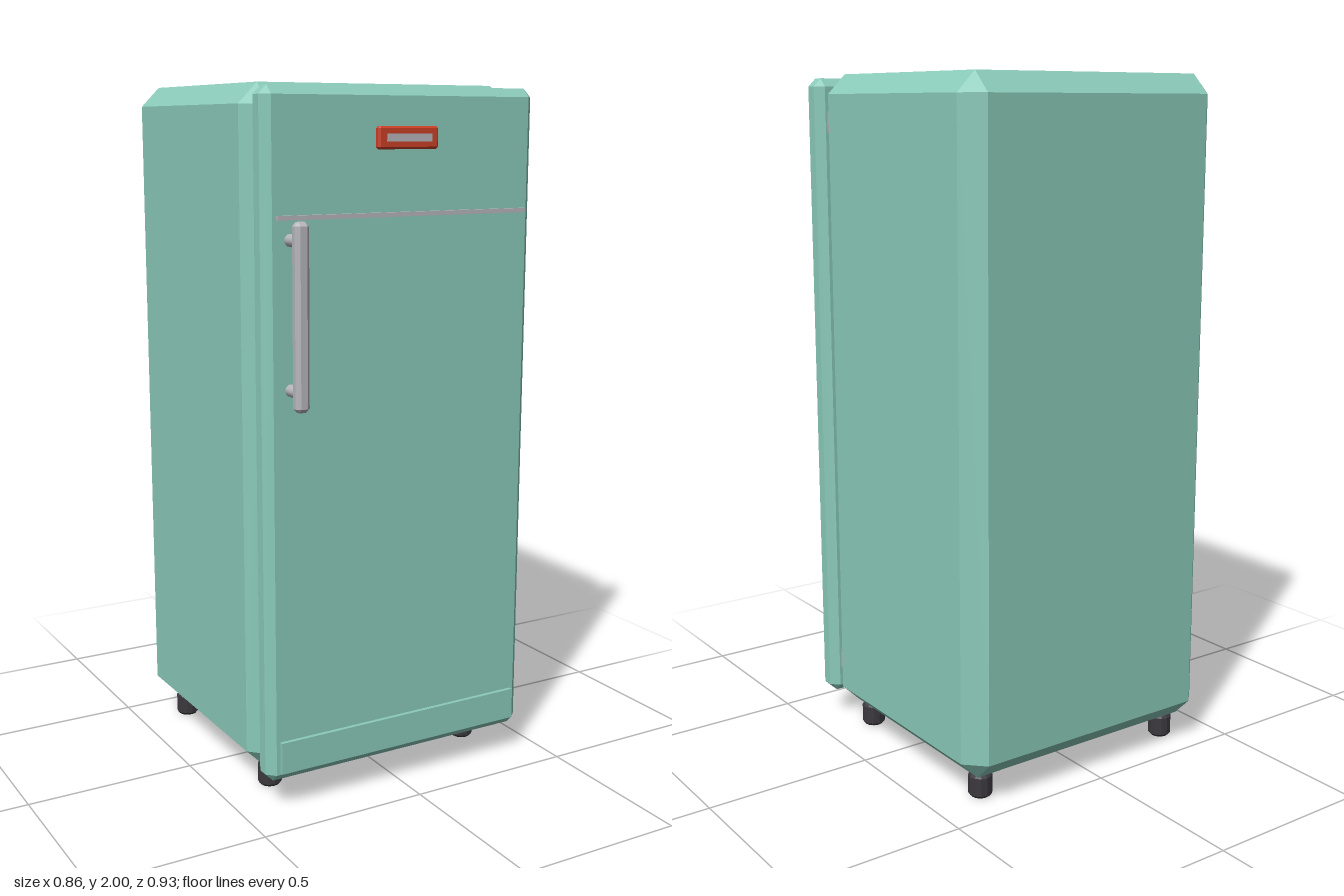
import * as THREE from 'three';
import { ConvexGeometry } from 'three/addons/geometries/ConvexGeometry.js';

const enamel = new THREE.MeshStandardMaterial({ color: 0x8acab9 });
enamel.name = 'mint enamel';
const chrome = new THREE.MeshStandardMaterial({ color: 0xb6b6bc });
chrome.name = 'chrome';
const rubber = new THREE.MeshStandardMaterial({ color: 0x3c393e });
rubber.name = 'dark rubber';
const red = new THREE.MeshStandardMaterial({ color: 0xcc4028 });
red.name = 'red badge';

// Box given by its limits; c is the width of the bevel on every edge
function block(name, material, [x0, x1], [y0, y1], [z0, z1], c = 0) {
  const w = (x1 - x0) / 2, h = (y1 - y0) / 2, d = (z1 - z0) / 2;
  let geometry;
  if (c > 0) {
    const points = [];
    for (const i of [-1, 1]) for (const j of [-1, 1]) for (const k of [-1, 1]) {
      points.push(
        new THREE.Vector3(i * w, j * (h - c), k * (d - c)),
        new THREE.Vector3(i * (w - c), j * h, k * (d - c)),
        new THREE.Vector3(i * (w - c), j * (h - c), k * d));
    }
    geometry = new ConvexGeometry(points);
  } else {
    geometry = new THREE.BoxGeometry(2 * w, 2 * h, 2 * d);
  }
  const mesh = new THREE.Mesh(geometry, material);
  mesh.name = name;
  mesh.position.set((x0 + x1) / 2, (y0 + y1) / 2, (z0 + z1) / 2);
  return mesh;
}

// Faceted foot with bevelled rims
function footGeometry() {
  const profile = [[0, 0], [0.028, 0], [0.035, 0.008], [0.035, 0.062], [0.028, 0.07], [0.028, 0.08], [0, 0.08]]
    .map(([r, y]) => new THREE.Vector2(r, y));
  const g = new THREE.LatheGeometry(profile, 12).toNonIndexed();
  g.computeVertexNormals();
  return g;
}

export function createModel() {
  const model = new THREE.Group();
  model.name = 'refrigerator';

  // Cabinet, seal and door
  model.add(block('cabinet', enamel, [-0.43, 0.43], [0.075, 2], [-0.465, 0.305], 0.056));
  model.add(block('doorSeal', rubber, [-0.35, 0.35], [0.19, 1.88], [0.3, 0.312]));

  const door = new THREE.Group();
  door.name = 'door';
  door.add(block('doorPanel', enamel, [-0.43, 0.43], [0.085, 1.99], [0.31, 0.39], 0.024));
  door.add(block('trimStrip', chrome, [-0.395, 0.395], [1.648, 1.66], [0.385, 0.403]));
  door.add(block('kickPanel', enamel, [-0.395, 0.395], [0.115, 0.207], [0.385, 0.402]));
  model.add(door);

  // Thin hinge plates between door and cabinet
  for (const y of [0.2, 1.865]) {
    model.add(block('hinge', chrome, [0.355, 0.4], [y - 0.03, y + 0.03], [0.304, 0.312]));
  }

  // Badge with a bright inlay
  const badge = new THREE.Group();
  badge.name = 'badge';
  badge.add(block('badgePlate', red, [-0.095, 0.095], [1.826, 1.887], [0.385, 0.407], 0.006));
  badge.add(block('badgeInlay', chrome, [-0.07, 0.07], [1.846, 1.867], [0.4, 0.412]));
  door.add(badge);

  // Handle: bevelled grip on two round posts
  const handle = new THREE.Group();
  handle.name = 'handle';
  handle.add(block('handleGrip', chrome, [-0.375, -0.333], [1.15, 1.647], [0.43, 0.466], 0.011));
  for (const y of [1.2, 1.596]) {
    const post = new THREE.Mesh(new THREE.CylinderGeometry(0.017, 0.017, 0.06, 12), chrome);
    post.name = 'handlePost';
    post.rotation.x = Math.PI / 2;
    post.position.set(-0.354, y, 0.412);
    handle.add(post);
  }
  door.add(handle);

  // Four feet
  const foot = footGeometry();
  for (const x of [-0.34, 0.34]) for (const z of [-0.373, 0.216]) {
    const mesh = new THREE.Mesh(foot, rubber);
    mesh.name = 'foot';
    mesh.position.set(x, 0, z);
    model.add(mesh);
  }
  return model;
}
